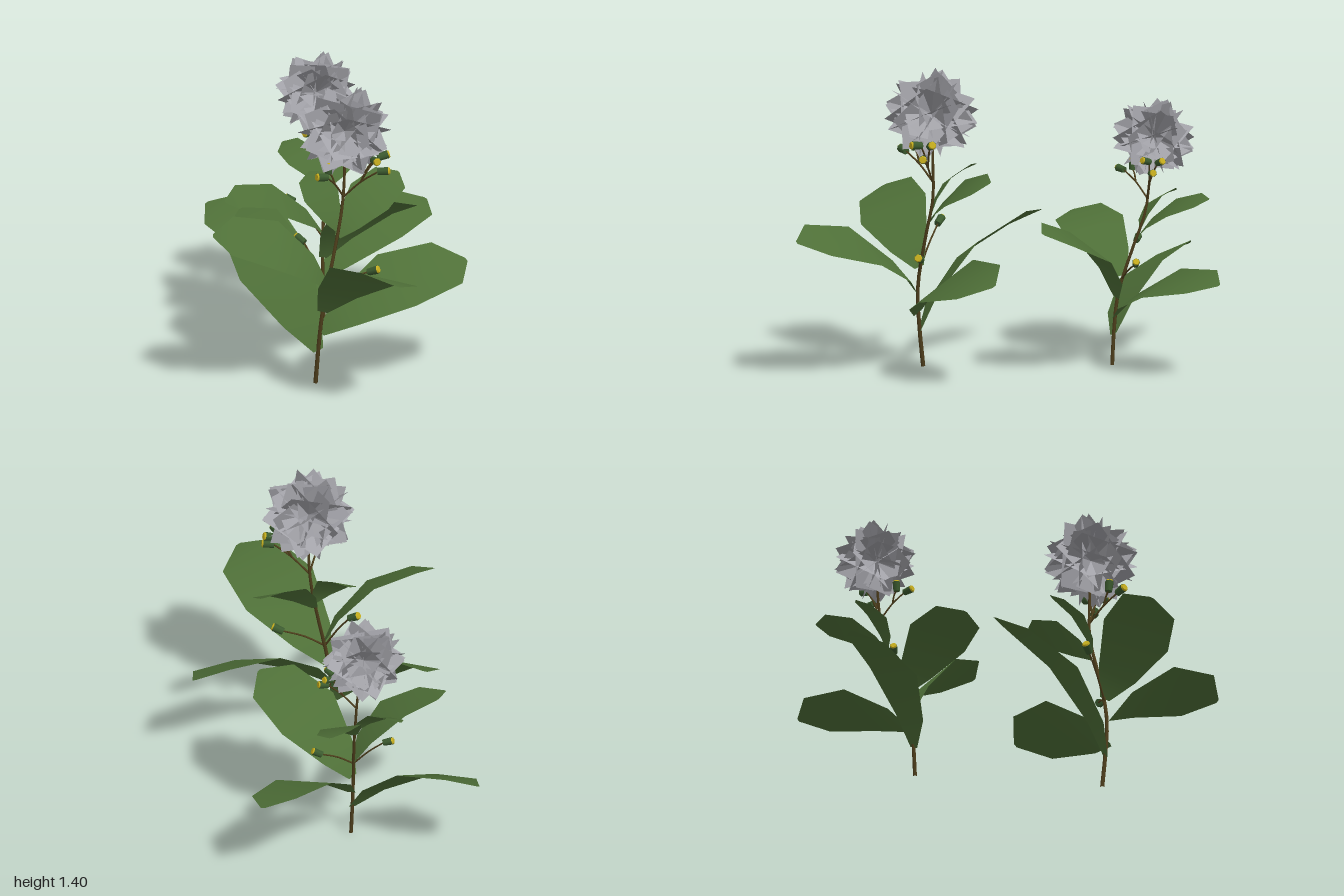
import * as THREE from 'three';

const V = (a) => new THREE.Vector3(...a);
const UP = new THREE.Vector3(0, 1, 0);

const mat = (name, color, extra = {}) => {
  const m = new THREE.MeshStandardMaterial({ color, ...extra });
  m.name = name;
  return m;
};

// Tube along points, narrowing towards its end
function taperedTube(points, r0, r1, segments) {
  const curve = new THREE.CatmullRomCurve3(points.map(V));
  const sides = 5;
  const geo = new THREE.TubeGeometry(curve, segments, r0, sides);
  const pos = geo.attributes.position;
  const v = new THREE.Vector3();
  for (let i = 0; i < pos.count; i++) {
    const t = Math.floor(i / (sides + 1)) / segments;
    const c = curve.getPointAt(t);
    v.fromBufferAttribute(pos, i).sub(c).multiplyScalar(1 + (r1 / r0 - 1) * t).add(c);
    pos.setXYZ(i, v.x, v.y, v.z);
  }
  return geo;
}

// Leaf blade: [distance along the leaf, half width relative to length]
const BLADE = [[0, 0.035], [0.18, 0.14], [0.53, 0.25], [0.87, 0.2], [1, 0.015]];

// A positive roll lifts the right-hand edge; the blade arches along its own normal
function leafGeometry({ base, tip, arch, roll, wide }) {
  const a = V(base), b = V(tip);
  const dir = b.clone().sub(a);
  const length = dir.length();
  dir.normalize();
  const side = dir.clone().cross(UP).normalize().applyAxisAngle(dir, -roll);
  const normal = side.clone().cross(dir);
  const pos = [], index = [];
  BLADE.forEach(([t, w], i) => {
    const c = a.clone().lerp(b, t).addScaledVector(normal, arch * 4 * t * (1 - t));
    for (const s of [-1, 1]) pos.push(...c.clone().addScaledVector(side, s * w * wide * length).toArray());
    if (i > 0) {
      const k = 2 * i;
      index.push(k - 2, k - 1, k, k - 1, k + 1, k);
    }
  });
  const geo = new THREE.BufferGeometry();
  geo.setAttribute('position', new THREE.Float32BufferAttribute(pos, 3));
  geo.setIndex(index);
  geo.computeVertexNormals();
  return geo;
}

// Leaf positions are relative to the foot of the stem
const LEAVES = [
  { name: 'frontLeaf', base: [0.025, 0.35, 0.04], tip: [0.265, 0.655, 0.66], arch: 0.11, roll: 0.37, wide: 1 },
  { name: 'sideLeaf', base: [0.05, 0.47, 0.03], tip: [-0.485, 0.75, 0.06], arch: 0.1, roll: 0.5, wide: 1.08 },
  { name: 'longSideLeaf', base: [0.02, 0.25, 0.03], tip: [0.725, 0.5, -0.15], arch: 0.1, roll: -0.5, wide: 0.92 },
  { name: 'backLeaf', base: [0.01, 0.16, 0.02], tip: [-0.235, 0.65, -0.615], arch: 0.11, roll: 0.5, wide: 0.82 },
  { name: 'upperSideLeaf', base: [0.105, 0.69, -0.01], tip: [0.42, 0.92, -0.21], arch: 0.05, roll: -0.5, wide: 1 },
  { name: 'upperBackLeaf', base: [0.105, 0.72, -0.01], tip: [0.015, 0.93, -0.25], arch: 0.05, roll: 0.5, wide: 1 },
];

// Buds: twig start, bud position, direction the bud points
const FORK = [0.132, 0.88, -0.012], LEFT = [0.083, 0.957, 0.039], RIGHT = [0.204, 0.96, 0.029];
const LOW = [0.045, 0.45, 0.03];
const BUDS = [
  [FORK, [0.035, 1.01, 0.09], [-1, 0.15, 0.3]],
  [LEFT, [0.052, 1.02, 0.05], [0, 1, 0.1]],
  [RIGHT, [0.255, 1.075, 0.075], [0.2, 0.1, 1]],
  [RIGHT, [0.285, 1.075, 0.04], [1, 0.3, 0]],
  [FORK, [0.28, 1.018, 0.07], [1, 0.1, 0.3]],
  [LOW, [-0.04, 0.65, -0.08], [-0.7, 0.5, -0.6]],
  [LOW, [0.235, 0.54, 0.07], [0.7, 0.3, 0.4]],
];

// Ball of large squares that all cross at the centre, their corners making the spikes
function flowerHead(material) {
  const group = new THREE.Group();
  group.name = 'flowerHead';
  const petal = new THREE.PlaneGeometry(0.305, 0.305);
  const count = 16;
  for (let i = 0; i < count; i++) {
    const y = 1 - (i + 0.5) / count;
    const r = Math.sqrt(1 - y * y), a = i * 2.39996;
    const facing = new THREE.Vector3(r * Math.cos(a), y, r * Math.sin(a));
    const mesh = new THREE.Mesh(petal, material);
    mesh.name = 'petals';
    mesh.quaternion.setFromUnitVectors(new THREE.Vector3(0, 0, 1), facing);
    mesh.rotateZ(i * 1.1);
    group.add(mesh);
  }
  return group;
}

function plant(name, mats, backLeafTip) {
  const group = new THREE.Group();
  group.name = name;
  const add = (part, geo, material, parent = group) => {
    const mesh = new THREE.Mesh(geo, material);
    mesh.name = part;
    parent.add(mesh);
    return mesh;
  };

  // Stem
  const path = [[0, 0, 0], [0.012, 0.2, 0.022], [0.03, 0.37, 0.033], [0.08, 0.6, 0.012],
    [0.122, 0.8, -0.015], [0.135, 0.95, -0.012], [0.135, 1.15, -0.005]];
  add('stem', taperedTube(path, 0.0105, 0.006, 16), mats.stem);

  // Leaves
  for (const leaf of LEAVES) {
    const tip = leaf.name === 'backLeaf' ? backLeafTip : leaf.tip;
    add(leaf.name, leafGeometry({ ...leaf, tip }), mats.leaf);
  }

  // Twigs with buds
  for (const [start, end, dir] of BUDS) {
    const mid = V(start).lerp(V(end), 0.5);
    mid.y += 0.012;
    add('twig', taperedTube([start, mid.toArray(), end], 0.005, 0.004, 6), mats.stem);
    const bud = new THREE.Group();
    bud.name = 'bud';
    bud.position.set(...end);
    bud.quaternion.setFromUnitVectors(UP, V(dir).normalize());
    add('budBody', new THREE.CylinderGeometry(0.02, 0.017, 0.05, 7), mats.bud, bud).position.y = 0.02;
    add('budTip', new THREE.CylinderGeometry(0.015, 0.019, 0.007, 7), mats.tip, bud).position.y = 0.0485;
    group.add(bud);
  }

  // Flower
  const head = flowerHead(mats.petal);
  head.position.set(0.135, 1.195, -0.005);
  group.add(head);
  return group;
}

export function createModel() {
  const mats = {
    stem: mat('stem brown', 0x4f3f1c),
    leaf: mat('leaf green', 0x4f7038, { side: THREE.DoubleSide }),
    bud: mat('bud green', 0x3d5c30),
    tip: mat('bud yellow', 0xc9b01e),
    petal: mat('petal grey', 0xa3a3a9, { side: THREE.DoubleSide }),
  };
  const model = new THREE.Group();
  model.name = 'floweringPlants';

  const front = plant('frontPlant', mats, [-0.235, 0.65, -0.615]);
  front.position.set(-0.135, 0, 0.33);

  // Smaller plant, turned and leaning back
  const back = plant('backPlant', mats, [-0.318, 0.64, -0.56]);
  back.position.set(0.055, 0, -0.51);
  back.rotation.set(-0.151, 0.262, 0.109, 'XZY');
  back.scale.setScalar(0.885);

  model.add(front, back);
  return model;
}
